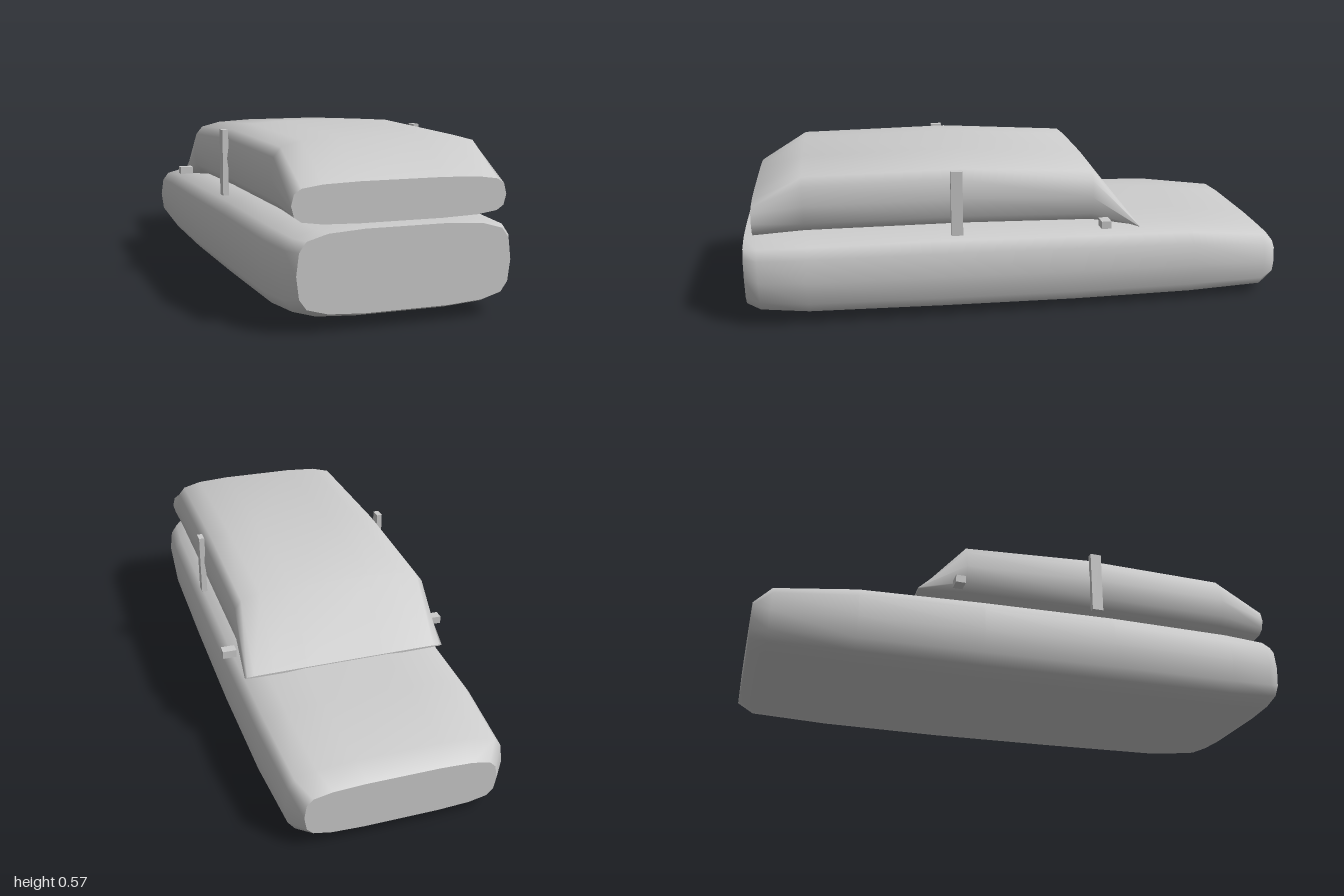
import * as THREE from 'three';

// Rounded-rectangle outline: one quadrant as fractions of half width and half height
const QUADRANT = [[1, 0], [0.975, 0.54], [0.91, 0.79], [0.72, 0.94], [0.385, 1]];

function outline() {
  const top = [...QUADRANT, ...QUADRANT.map(([x, y]) => [-x, y]).reverse()];
  const bottom = top.slice(1, -1).map(([x, y]) => [x, -y]).reverse();
  return [...top, ...bottom];
}

// Smooth skin through sections [z, halfWidth, bottomY, topY], front to back, with flat caps
function loft(sections) {
  const ring = outline();
  const n = ring.length;
  const pos = [], index = [];
  const addRing = ([z, w, y0, y1]) => {
    const start = pos.length / 3;
    for (const [x, y] of ring) pos.push(x * w, (y0 + y1) / 2 + y * (y1 - y0) / 2, z);
    return start;
  };
  sections.forEach(addRing);
  for (let s = 0; s < sections.length - 1; s++) {
    for (let i = 0; i < n; i++) {
      const a = s * n + i, b = s * n + (i + 1) % n;
      index.push(a, a + n, b, b, a + n, b + n);
    }
  }
  const front = addRing(sections[0]);
  const back = addRing(sections[sections.length - 1]);
  for (let i = 1; i < n - 1; i++) {
    index.push(front, front + i, front + i + 1);
    index.push(back, back + i + 1, back + i);
  }
  const geo = new THREE.BufferGeometry();
  geo.setAttribute('position', new THREE.Float32BufferAttribute(pos, 3));
  geo.setIndex(index);
  geo.computeVertexNormals();
  return geo;
}

export function createModel() {
  const group = new THREE.Group();
  const material = new THREE.MeshStandardMaterial({ color: 0xcccccc });
  const add = (name, geo, x = 0, y = 0, z = 0) => {
    const mesh = new THREE.Mesh(geo, material);
    mesh.name = name;
    mesh.position.set(x, y, z);
    group.add(mesh);
  };

  // Lower body
  add('body', loft([
    [1, 0.36, 0.055, 0.317],
    [0.95, 0.39, 0.036, 0.322],
    [0.78, 0.405, 0.02, 0.327],
    [0.3, 0.41, 0.01, 0.328],
    [-0.2, 0.41, 0.003, 0.316],
    [-0.65, 0.402, 0.003, 0.302],
    [-0.94, 0.382, 0.012, 0.266],
    [-1, 0.335, 0.04, 0.215],
  ]));

  // Cabin, tapering to a thin edge at the back
  add('cabin', loft([
    [0.96, 0.362, 0.326, 0.455],
    [0.78, 0.369, 0.325, 0.572],
    [0.22, 0.372, 0.322, 0.578],
    [-0.26, 0.372, 0.312, 0.545],
    [-0.44, 0.378, 0.304, 0.312],
  ]));

  // Door pillars and handles, mirrored
  for (const [side, s] of [['left', 1], ['right', -1]]) {
    add(side + 'Pillar', new THREE.BoxGeometry(0.021, 0.238, 0.042), s * 0.377, 0.435, 0.242);
    add(side + 'Handle', new THREE.BoxGeometry(0.05, 0.028, 0.036), s * 0.401, 0.339, -0.298);
  }

  return group;
}
